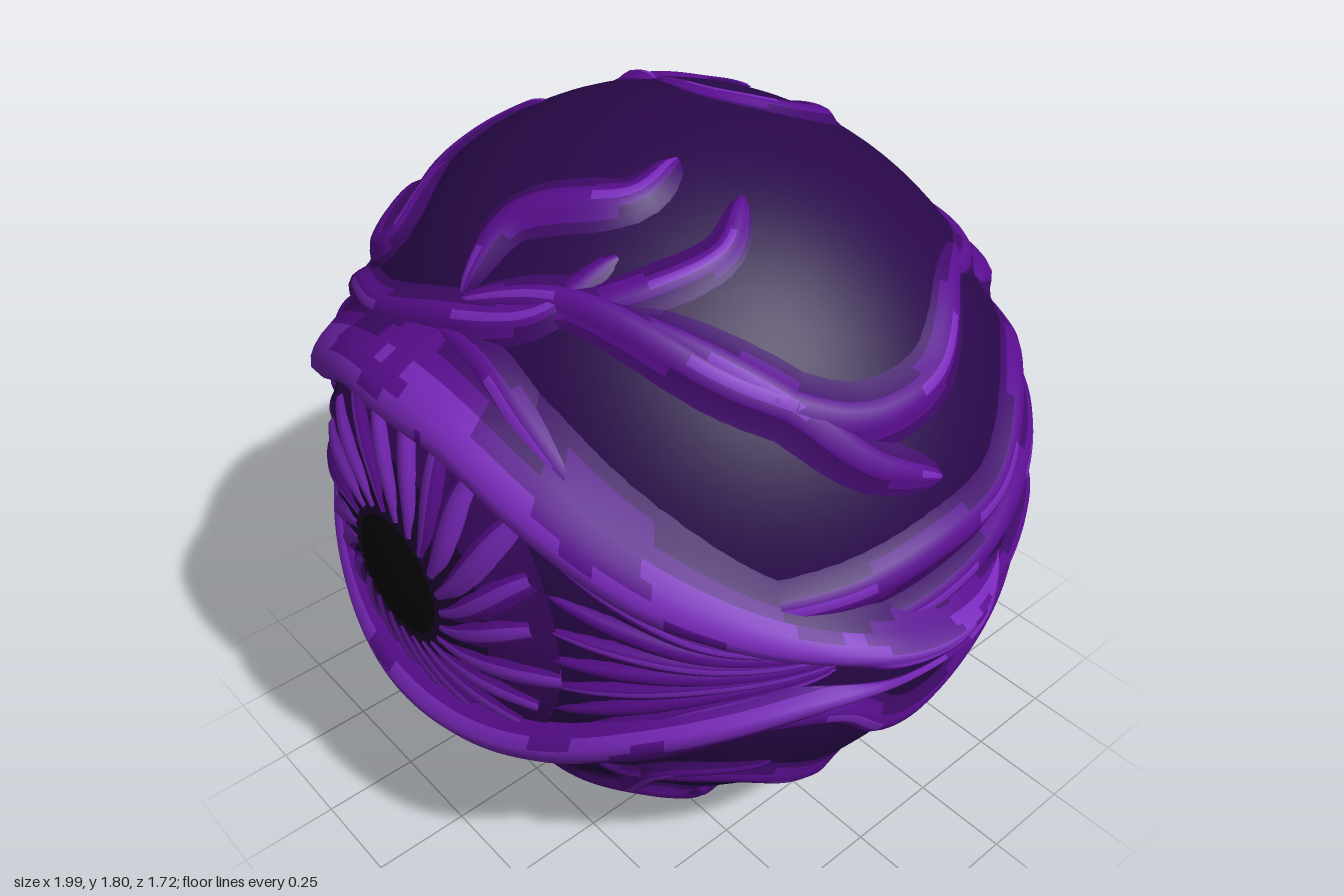
import * as THREE from 'three';

const V = (x, y, z) => new THREE.Vector3(x, y, z);
const RADII = V(0.89, 0.9, 0.84);
const MID = 0.905; // height of the eye's centre

const paint = (name, color) => Object.assign(new THREE.MeshStandardMaterial({ color }), { name });
const MATS = [
  paint('deepPurple', 0x29084a),
  paint('dimPurple', 0x400a6a),
  paint('veinPurple', 0x5a0e90),
  paint('glowPurple', 0x7a28bc),
  paint('pupilBlack', 0x050505),
  paint('shadowPurple', 0x220638),
];
const [DEEP, DIM, VEIN, GLOW, BLACK, SHADOW] = [0, 1, 2, 3, 4, 5];

// Points on the ball, all relative to its centre
const onto = (p) => p.clone().divideScalar(p.clone().divide(RADII).length());
const normalAt = (p) => p.clone().divide(RADII).divide(RADII).normalize();
const lift = (p, h) => { const q = onto(p); return q.addScaledVector(normalAt(q), h); };
const polar = (angle, y, h) => {
  const s = (y - MID) / RADII.y, c = Math.sqrt(Math.max(0, 1 - s * s));
  return lift(V(RADII.x * Math.sin(angle) * c, s * RADII.y, RADII.z * Math.cos(angle) * c), h);
};

// Casts a flat sketch point (a right, b up) onto the ball from a turn and tilt in degrees
function caster(turn, tilt) {
  const t = THREE.MathUtils.degToRad(turn), e = THREE.MathUtils.degToRad(tilt);
  const out = V(Math.sin(t) * Math.cos(e), Math.sin(e), Math.cos(t) * Math.cos(e));
  const right = V(Math.cos(t), 0, -Math.sin(t));
  const up = out.clone().cross(right);
  return (a, b) => {
    const p = right.clone().multiplyScalar(a).addScaledVector(up, b);
    const q = p.clone().divide(RADII), d = out.clone().divide(RADII);
    const A = d.dot(d), B = q.dot(d), C = q.dot(q) - 1;
    return onto(p.addScaledVector(out, (-B + Math.sqrt(Math.max(0, B * B - A * C))) / A));
  };
}

// Smooth surface through rows of points, one material per quad
function sheet(name, rows, pick) {
  const n = rows[0].length, buckets = MATS.map(() => []);
  for (let i = 0; i < rows.length - 1; i++) {
    for (let j = 0; j < n - 1; j++) {
      const a = i * n + j, b = a + n;
      buckets[pick(i, j)].push(a, b, a + 1, b, b + 1, a + 1);
    }
  }
  const geo = new THREE.BufferGeometry().setFromPoints(rows.flat());
  geo.setIndex(buckets.flat());
  let start = 0;
  buckets.forEach((list, m) => {
    if (list.length) geo.addGroup(start, list.length, m);
    start += list.length;
  });
  geo.computeVertexNormals();
  const mesh = new THREE.Mesh(geo, MATS);
  mesh.name = name;
  return mesh;
}

// Tapered ridge that hugs the ball along a path
const ACROSS = [[-1, 0], [-0.6, 0.3], [-0.36, 0.72], [-0.14, 1], [0.14, 1], [0.36, 0.72], [0.6, 0.3], [1, 0]];
function ridge(name, pts, width, height, pick, taper) {
  const curve = new THREE.CatmullRomCurve3(pts, false, 'centripetal');
  const steps = Math.max(12, Math.round(curve.getLength() / 0.025));
  const rows = [];
  for (let i = 0; i <= steps; i++) {
    const t = i / steps, p = onto(curve.getPointAt(t));
    const side = normalAt(p).cross(curve.getTangentAt(t)).normalize();
    const k = taper(t);
    rows.push(ACROSS.map(([w, h]) => lift(p.clone().addScaledVector(side, w * width * k), h * height * k - 0.003)));
  }
  return sheet(name, rows, pick);
}

// Sketched veins: each list runs a, b, a, b ...
const SIDE_VEINS = [
  [-.67, .7, -.49, .69, -.33, .58, -.14, .5, .07, .51, .29, .6, .42, .6],
  [-.6, .66, -.45, .78, -.27, .83, -.14, .87],
  [-.45, .69, -.27, .55, -.15, .42, .02, .33],
  [-.7, .36, -.55, .18, -.3, .17, -.03, .2, .2, .22, .45, .34, .65, .3, .8, .28],
  [-.5, .17, -.2, .07, .1, .1, .3, .15, .55, .2, .82, .14],
  [.05, -.03, .22, -.06, .45, 0, .7, -.05, .83, -.08],
  [-.7, -.25, -.46, -.15, -.25, -.17, -.09, -.31, .13, -.36, .34, -.22, .55, -.14, .8, -.2],
  [-.62, -.4, -.4, -.4, -.2, -.53, .02, -.66, .3, -.6, .5, -.42, .75, -.33],
  [-.55, -.68, -.5, -.55, -.35, -.66, -.2, -.8, .1, -.83, .38, -.75, .53, -.62],
];
const FRONT_VEINS = [
  [-.72, .47, -.62, .56, -.45, .55, -.36, .62, -.45, .7],
  [-.72, .25, -.6, .37, -.47, .46, -.25, .52, -.04, .59, .2, .66, .26, .76],
  [-.04, .58, .14, .56, .3, .48, .45, .38, .6, .28],
  [-.58, .36, -.46, .36, -.36, .46],
  [-.72, -.33, -.58, -.36, -.47, -.57, -.25, -.67, .06, -.7, .38, -.6, .57, -.38, .73, -.36],
  [-.42, -.47, -.2, -.56, .06, -.56, .33, -.46],
  [-.65, -.55, -.47, -.72, -.2, -.8, .12, -.82],
  [.3, -.78, .43, -.72, .54, -.58],
  [-.84, .2, -.68, .23, -.55, .32],
];
const TOP_VEINS = [
  [-.6, .3, -.52, .46, -.25, .52, -.08, .49, .08, .4, .11, .25, 0, .12, -.2, .12],
  [-.56, .22, -.35, .22, -.25, .34, -.1, .34],
  [-.35, .22, -.3, .14, -.2, .12],
  [-.15, .5, -.13, .64, .1, .69, .35, .6, .5, .45, .58, .28],
  [-.36, -.5, -.5, -.25, -.48, -.08, -.37, -.08],
  [.2, -.55, .35, -.38, .4, -.22, .33, -.1],
];
const BACK_VEINS = [
  [-.51, .22, -.67, .3, -.7, .44],
  [-.51, .22, -.3, .28, -.17, .43, -.28, .58],
  [-.17, .43, .02, .28, .29, .22, .5, .3, .74, .3],
  [.02, .28, .03, .12, -.1, 0],
  [-.5, -.07, -.2, -.04, .07, .04, .34, -.04, .6, -.1, .82, .06],
  [-.5, -.2, -.35, -.26, -.14, -.28, .07, -.15, .4, -.12, .6, -.2, .85, -.17],
  [-.6, -.38, -.45, -.43, -.25, -.5, .02, -.42, .29, -.36, .55, -.4, .82, -.26],
  [-.57, -.6, -.25, -.63, .07, -.52, .4, -.55, .66, -.52],
  [-.2, -.77, .02, -.68, .3, -.72],
];
const UNDER_VEINS = [
  [-.6, -.35, -.47, -.36, -.34, -.31, -.26, -.15, -.13, -.1, -.02, -.2, -.1, -.27],
  [-.34, -.31, -.25, -.5, -.1, -.52],
  [-.02, -.22, .25, -.23, .5, -.28, .73, -.2, .78, -.36],
  [.22, -.42, .4, -.52, .62, -.44],
  [-.13, -.6, -.04, -.51, .05, -.6, -.04, -.69, -.13, -.6],
  [-.4, -.47, -.3, -.68, -.18, -.78],
  [.22, -.5, .18, -.68, .36, -.66],
];

// Lid outlines: angle from front, opening edge, outer edge, ridge height
const UPPER = [[0, 1.29, 1.53, .09], [14, 1.275, 1.5, .085], [28, 1.18, 1.44, .07], [45, 1.05, 1.3, .06],
  [63, .965, 1.13, .07], [80, .92, 1.02, .105], [92, .915, .975, .09], [108, .91, .92, 0]];
const LOWER = [[0, .6, .4, .085], [14, .615, .41, .08], [28, .675, .46, .07], [45, .785, .58, .06],
  [63, .865, .71, .065], [80, .91, .83, .105], [92, .915, .87, .09], [108, .91, .9, 0]];
const LID_PROFILE = [[0, -.1], [.03, .55], [.1, .92], [.2, 1], [.3, .95], [.42, .8], [.55, .56], [.68, .34], [.84, .12], [1, -.04]];

function lid(name, keys, dir) {
  const all = [...keys.slice(1).reverse().map(([d, ...r]) => [-d, ...r]), ...keys];
  if (dir < 0) all.reverse();
  const edges = new THREE.CatmullRomCurve3(all.map((k) => V(k[0] / 57.3, k[1], k[2])), false, 'catmullrom');
  const heights = new THREE.CatmullRomCurve3(all.map((k) => V(k[0] / 57.3, k[3], 0)), false, 'catmullrom');
  const rows = [];
  for (let i = 0; i <= 160; i++) {
    const e = edges.getPoint(i / 160), h = heights.getPoint(i / 160).y;
    const close = THREE.MathUtils.smoothstep(Math.abs(e.x), 1, 1.35) * 0.95; // fold shuts at the corners
    rows.push(LID_PROFILE.map(([v, k], j) => polar(e.x, e.y + (e.z - e.y) * v, (j < 2 ? Math.max(k, close) : k) * h)));
  }
  // Bright crest, ragged streaks down the slope, dim hem
  return sheet(name, rows, (i, j) => {
    const streak = Math.sin(i * 0.19 + j * 0.8) + 0.6 * Math.sin(i * 0.43 - j);
    if (j === 0) return VEIN;
    if (j < 4) return streak > -1.1 ? GLOW : VEIN;
    if (j < 6) return streak > (dir > 0 ? -0.1 : 0.4) ? GLOW : VEIN;
    if (j === 6) return streak > -0.5 ? VEIN : DIM;
    return j === 7 && streak > 0.5 ? VEIN : DIM;
  });
}

export function createModel() {
  const model = new THREE.Group();
  model.name = 'eyeball';
  const eye = new THREE.Group();
  eye.name = 'eye';
  eye.position.y = MID;
  model.add(eye);

  const body = new THREE.Mesh(new THREE.SphereGeometry(1, 96, 64), MATS[DEEP]);
  body.name = 'body';
  body.scale.copy(RADII);
  eye.add(body);

  // Veins over every side of the body
  const fade = (t) => 0.2 + 0.8 * Math.pow(Math.sin(Math.PI * t), 0.5);
  const addVeins = (name, list, turn, tilt, width, height) => {
    const cast = caster(turn, tilt), group = new THREE.Group();
    group.name = name;
    list.forEach((flat, n) => {
      const pts = [];
      for (let i = 0; i < flat.length; i += 2) pts.push(cast(flat[i], flat[i + 1]));
      group.add(ridge('vein', pts, width, height, (i, j) => {
        if (j === 0 || j === 6) return DIM;
        if (j === 3) return Math.sin(i * 0.3 + n * 2) > 0.15 ? GLOW : VEIN;
        return j === 1 || j === 5 ? (Math.sin(i * 0.25 + n + j) > -0.2 ? DIM : VEIN) : VEIN;
      }, fade));
    });
    eye.add(group);
  };
  addVeins('sideVeins', SIDE_VEINS, 90, 0, 0.085, 0.034);
  addVeins('frontVeins', FRONT_VEINS, 0, 0, 0.078, 0.032);
  addVeins('topVeins', TOP_VEINS, 0, 90, 0.065, 0.022);
  addVeins('backVeins', BACK_VEINS, 210, 21, 0.085, 0.034);
  addVeins('undersideVeins', UNDER_VEINS, 150, -21, 0.055, 0.018);

  // Eyelids meeting in a pointed fold at each side
  eye.add(lid('upperLid', UPPER, 1), lid('lowerLid', LOWER, -1));

  // Iris bed with swirling blades
  const front = caster(0, 0), bed = [];
  for (let i = 0; i <= 64; i++) {
    const a = i / 64 * Math.PI * 2;
    bed.push([0.46, 0.38, 0.3, 0.2, 0.1].map((r) => lift(front(Math.cos(a) * r, Math.sin(a) * r), 0.004)));
  }
  eye.add(sheet('irisBed', bed, (i, j) => (j > 1 ? SHADOW : DIM)));
  const blades = new THREE.Group();
  blades.name = 'irisBlades';
  for (let n = 0; n < 22; n++) {
    const a = n / 22 * Math.PI * 2, long = 0.44 + 0.03 * Math.sin(n * 2.3);
    const pts = [0, 0.2, 0.4, 0.6, 0.8, 1].map((t) => {
      const r = 0.17 + (long - 0.17) * t, w = a + 0.75 * t - 0.3 * t * t;
      return front(Math.cos(w) * r, Math.sin(w) * r);
    });
    blades.add(ridge('irisBlade', pts, 0.056, 0.022,
      (i, j) => (j === 0 ? DIM : j < 5 && (n % 3 || j > 2) ? GLOW : VEIN), (t) => 0.25 + 0.75 * Math.sin(Math.PI * (0.08 + t * 0.7))));
  }
  eye.add(blades);

  // Streaks from the iris to each corner
  for (const s of [-1, 1]) {
    for (let k = -3; k <= 3; k++) {
      const pts = [[0.43, k * 0.082], [0.57, k * 0.055], [0.7, k * 0.028], [0.84, k * 0.01]].map(([x, y]) => front(s * x, y));
      eye.add(ridge('cornerStreak', pts, 0.045, 0.016, (i, j) => (j === 3 && k % 2 ? GLOW : j < 2 ? DIM : VEIN), fade));
    }
  }

  const pupil = new THREE.Mesh(new THREE.SphereGeometry(1, 40, 24), MATS[BLACK]);
  pupil.name = 'pupil';
  pupil.scale.set(0.16, 0.16, 0.045);
  pupil.position.set(0, 0.005, 0.815);
  eye.add(pupil);
  return model;
}
